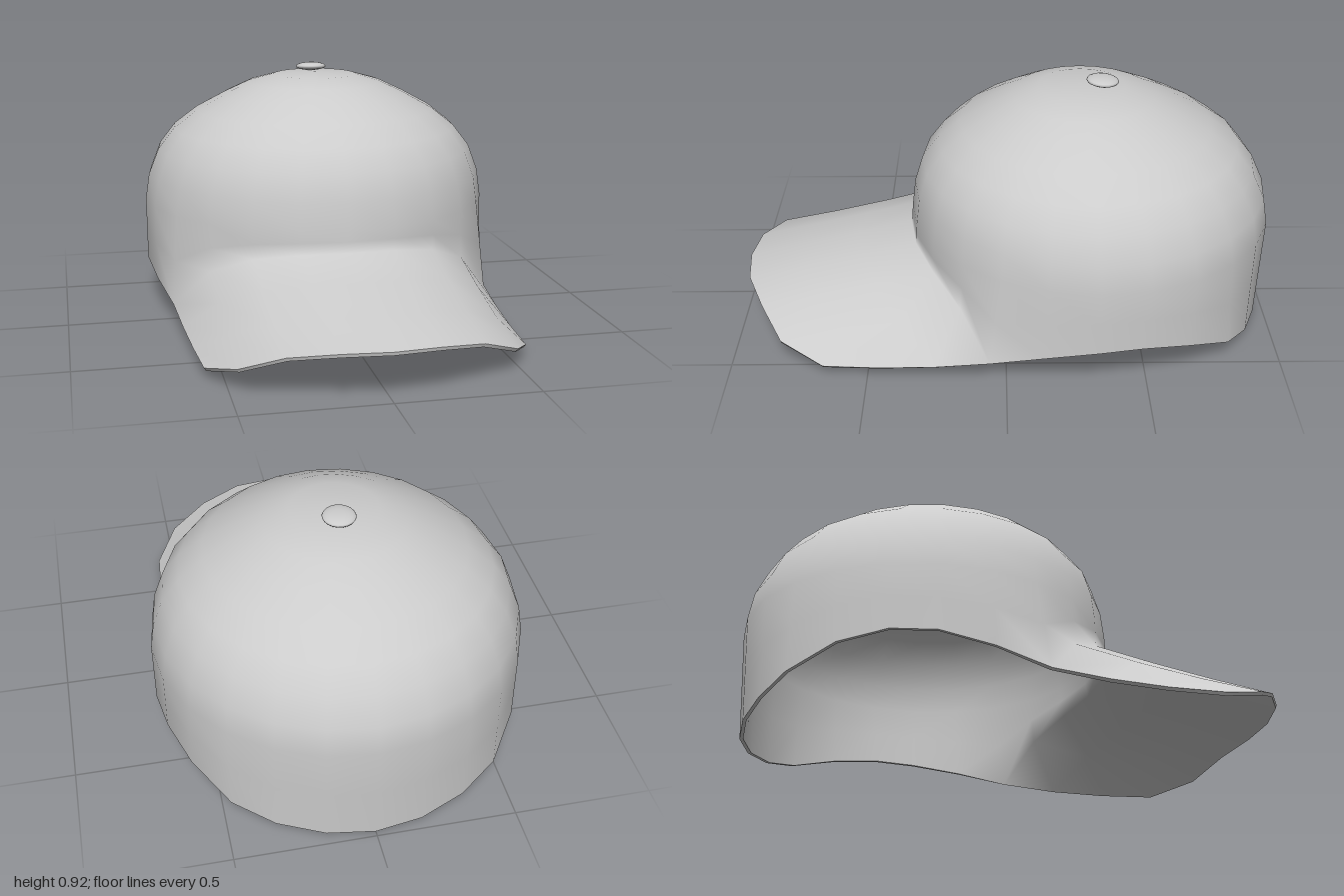
import * as THREE from 'three';
import { mergeVertices } from 'three/addons/utils/BufferGeometryUtils.js';

const COLS = 24, VISOR_ROWS = 3, THICKNESS = 0.013;

// Crown rings from the top down: [height, radius, centre z]
const RINGS = [
  [0.893, 0, -0.28], [0.886, 0.16, -0.285], [0.857, 0.262, -0.29], [0.81, 0.36, -0.295],
  [0.75, 0.47, -0.3], [0.68, 0.56, -0.31], [0.6, 0.622, -0.312], [0.5, 0.661, -0.32], [0.4, 0.676, -0.323],
];

// Lower edge of the crown, from front centre round the left side to back centre
const BASE = [
  [0, 0.32, 0.36], [0.17, 0.315, 0.335], [0.335, 0.29, 0.265], [0.48, 0.225, 0.165], [0.61, 0.075, 0.06],
  [0.652, 0.125, -0.13], [0.674, 0.16, -0.32], [0.652, 0.165, -0.48], [0.59, 0.135, -0.65],
  [0.475, 0.07, -0.81], [0.335, 0.03, -0.9], [0.17, 0.008, -0.96], [0, 0, -0.98],
];

// Outer edge of the visor, from front centre to its left corner
const VISOR_EDGE = [
  [0, 0.17, 0.995], [0.165, 0.168, 0.975], [0.33, 0.143, 0.905], [0.475, 0.085, 0.82], [0.565, 0.038, 0.66],
];

// One column of points running down the crown and, at the front, out along the visor
function column(j) {
  const k = j > COLS / 2 ? COLS - j : j;
  const angle = (k / COLS) * Math.PI * 2;
  const points = RINGS.map(([y, r, z]) => new THREE.Vector3(Math.sin(angle) * r, y, z + Math.cos(angle) * r));
  const base = new THREE.Vector3(...BASE[k]);
  points.push(points[points.length - 1].clone().lerp(base, 0.5), base);
  const edge = k < VISOR_EDGE.length ? new THREE.Vector3(...VISOR_EDGE[k]) : base;
  for (let i = 1; i <= VISOR_ROWS; i++) {
    const t = i / VISOR_ROWS;
    const p = base.clone().lerp(edge, t);
    if (edge !== base) p.y -= 0.022 * Math.abs(p.x) * Math.sin(Math.PI * t);
    points.push(p);
  }
  if (j !== k) points.forEach((p) => { p.x *= -1; });
  return points;
}

// Outer skin: full rings for the crown, front columns only for the visor
function outerSkin() {
  const columns = Array.from({ length: COLS }, (_, j) => column(j));
  const rows = columns[0].length, crownRows = RINGS.length + 1;
  const half = VISOR_EDGE.length - 1;
  const index = [];
  for (let j = 0; j < COLS; j++) {
    const n = (j + 1) % COLS;
    const isFront = j < half || j >= COLS - half;
    for (let i = 0; i < (isFront ? rows - 1 : crownRows); i++) {
      const a = j * rows + i, d = n * rows + i;
      index.push(a, a + 1, d + 1);
      if (i > 0) index.push(a, d + 1, d);
    }
  }
  const geometry = new THREE.BufferGeometry().setFromPoints(columns.flat());
  geometry.setIndex(index);
  const merged = mergeVertices(geometry, 1e-4);
  merged.computeVertexNormals();
  return merged;
}

// Gives a skin an inner side and a narrow rim along its open edge
function thicken(skin, thickness) {
  const pos = skin.attributes.position, nor = skin.attributes.normal;
  const outer = [], inner = [];
  for (let i = 0; i < pos.count; i++) {
    const p = new THREE.Vector3().fromBufferAttribute(pos, i);
    const n = new THREE.Vector3().fromBufferAttribute(nor, i);
    outer.push(p);
    inner.push(p.clone().addScaledVector(n, -thickness));
  }
  const points = [...outer, ...inner];
  const source = Array.from(skin.index.array), index = [...source];
  const edges = new Map();
  for (let i = 0; i < source.length; i += 3) {
    const tri = source.slice(i, i + 3);
    index.push(tri[0] + pos.count, tri[2] + pos.count, tri[1] + pos.count);
    tri.forEach((p, c) => edges.set(`${p},${tri[(c + 1) % 3]}`, [p, tri[(c + 1) % 3]]));
  }
  // Rim points are separate so that the rim stays crisp
  const rim = new Map();
  const rimPoint = (i) => {
    if (!rim.has(i)) {
      rim.set(i, points.length);
      points.push(outer[i].clone(), inner[i].clone());
    }
    return rim.get(i);
  };
  for (const [p, q] of edges.values()) {
    if (edges.has(`${q},${p}`)) continue;
    const a = rimPoint(p), b = rimPoint(q);
    index.push(b, a, a + 1, b, a + 1, b + 1);
  }
  const geometry = new THREE.BufferGeometry().setFromPoints(points);
  geometry.setIndex(index);
  geometry.computeVertexNormals();
  return geometry;
}

export function createModel() {
  const group = new THREE.Group();
  group.name = 'cap';
  const material = new THREE.MeshStandardMaterial({ color: 0xcccccc, side: THREE.DoubleSide });

  // Crown and visor share one continuous cloth shell
  const shell = new THREE.Mesh(thicken(outerSkin(), THICKNESS), material);
  shell.name = 'crownAndVisor';
  group.add(shell);

  // Flattened button on top
  const button = new THREE.Mesh(new THREE.SphereGeometry(0.06, 20, 10), material);
  button.name = 'topButton';
  button.scale.y = 0.27;
  button.position.set(0, 0.906, -0.36);
  button.rotation.x = -0.06;
  group.add(button);

  return group;
}
